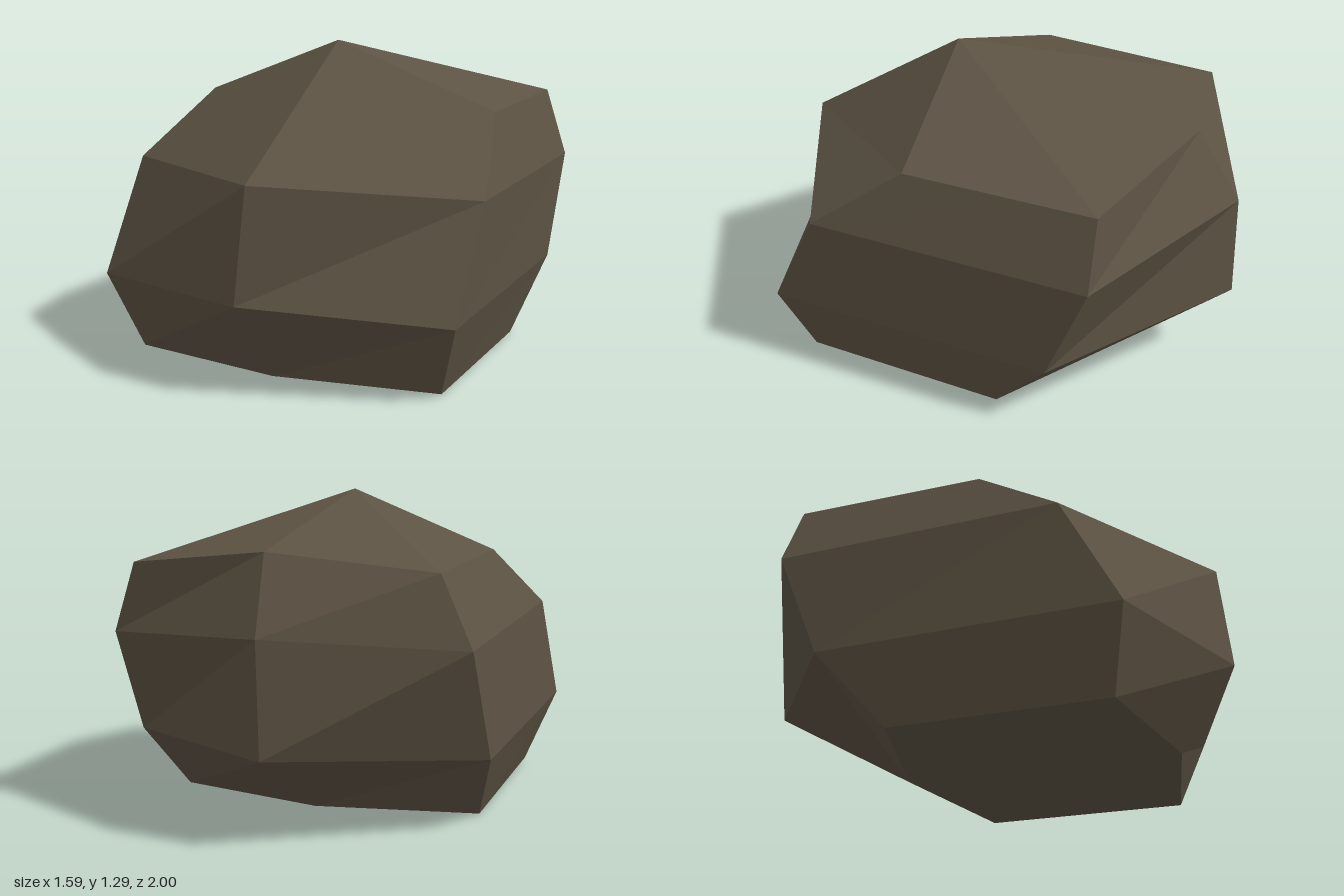
import * as THREE from 'three';

// Six-sided cross-sections from the base up.
// Corners run: front, front left, back left, back, back right, front right.
const rings = [
  [[0.01, 0.02, 0.76], [0.67, 0.01, 0.65], [0.67, 0, -0.22], [0.01, 0.01, -0.40], [-0.65, 0, -0.25], [-0.665, 0.015, 0.63]],
  [[-0.02, 0.36, 1], [0.76, 0.305, 0.76], [0.76, 0.30, -0.47], [0, 0.35, -1], [-0.75, 0.30, -0.51], [-0.795, 0.33, 0.70]],
  [[0.01, 0.81, 0.955], [0.79, 0.74, 0.535], [0.78, 0.74, -0.645], [0.015, 0.80, -0.99], [-0.72, 0.75, -0.70], [-0.76, 0.79, 0.46]],
  [[0.05, 1.29, 0.23], [0.70, 1.02, 0.155], [0.69, 1.025, -0.64], [0.05, 1.10, -0.815], [-0.59, 1.03, -0.68], [-0.61, 1.05, 0.10]],
];

function loftGeometry(sections) {
  const n = sections[0].length;
  const positions = [];
  const tri = (a, b, c) => positions.push(...a, ...b, ...c);

  // Sides: every quad splits from its lower corner to the next upper corner
  for (let r = 0; r < sections.length - 1; r++) {
    const lower = sections[r], upper = sections[r + 1];
    for (let i = 0; i < n; i++) {
      const j = (i + 1) % n;
      tri(lower[i], lower[j], upper[j]);
      tri(lower[i], upper[j], upper[i]);
    }
  }

  // Top and base fan out from the front corner
  const base = sections[0], top = sections[sections.length - 1];
  for (let i = 1; i < n - 1; i++) {
    tri(top[0], top[i], top[i + 1]);
    tri(base[0], base[i + 1], base[i]);
  }

  const geometry = new THREE.BufferGeometry();
  geometry.setAttribute('position', new THREE.Float32BufferAttribute(positions, 3));
  geometry.computeVertexNormals();
  return geometry;
}

export function createModel() {
  const stone = new THREE.MeshStandardMaterial({ color: 0x5d5344, flatShading: true });
  stone.name = 'brown stone';

  // Faceted boulder
  const boulder = new THREE.Mesh(loftGeometry(rings), stone);
  boulder.name = 'boulder';

  const model = new THREE.Group();
  model.name = 'rock';
  model.add(boulder);
  return model;
}
